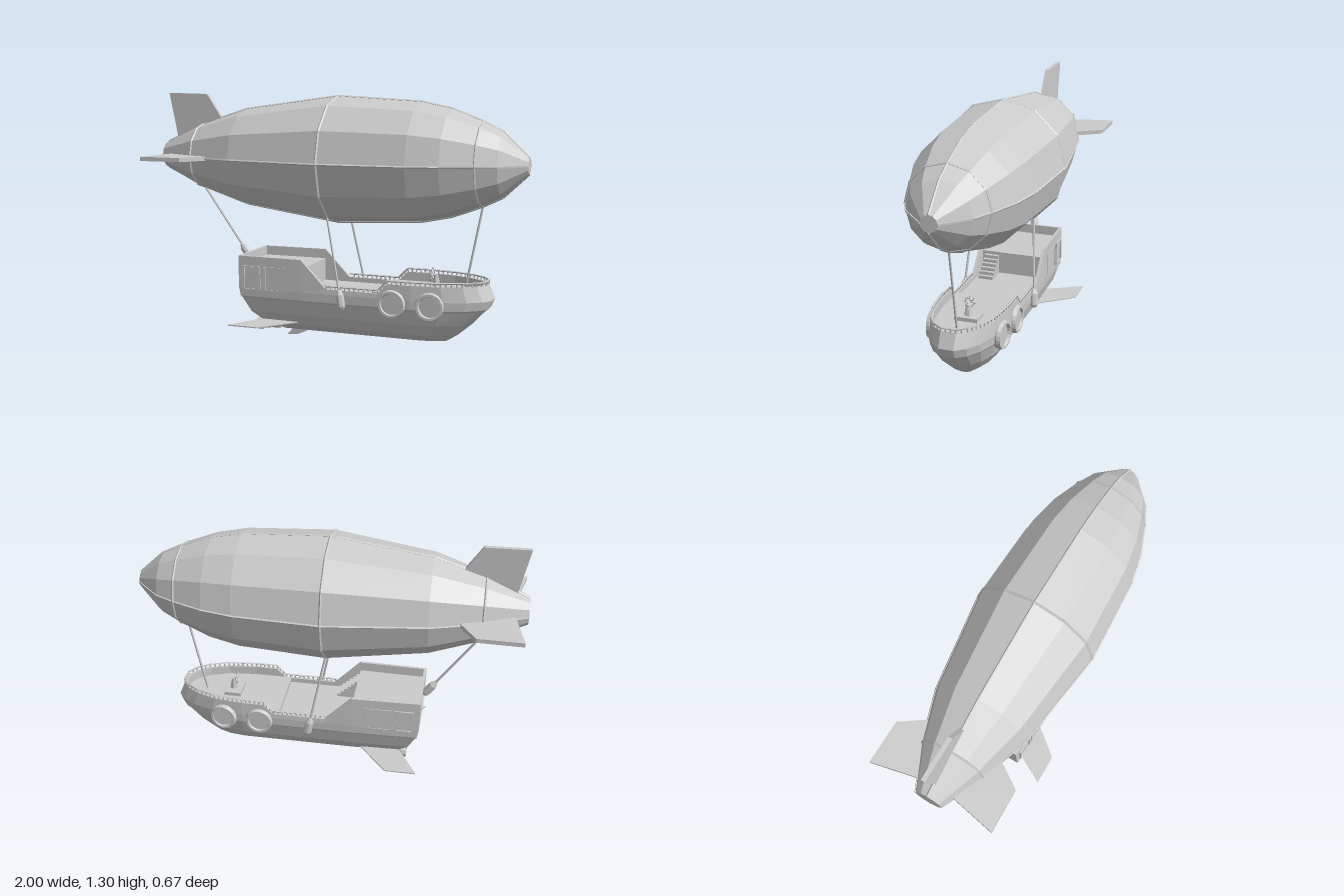
import * as THREE from 'three';

const mat = new THREE.MeshStandardMaterial({ color: 0xcccccc, flatShading: true });
const AXIS = 0.96; // height of the balloon's axis
const V = (x, y, z) => new THREE.Vector3(x, y, z);

function add(parent, name, geometry, x = 0, y = 0, z = 0) {
  const m = new THREE.Mesh(geometry, mat);
  m.name = name;
  m.position.set(x, y, z);
  parent.add(m);
  return m;
}

// Straight rod between two points
function rod(parent, name, a, b, r, sides = 5, r2 = r) {
  const d = b.clone().sub(a);
  const m = add(parent, name, new THREE.CylinderGeometry(r2, r, d.length(), sides));
  m.position.copy(a).addScaledVector(d, 0.5);
  m.quaternion.setFromUnitVectors(V(0, 1, 0), d.normalize());
  return m;
}

// Flat plate cut from an outline in x and y, centred on z
function plate(parent, name, pts, t) {
  const g = new THREE.ExtrudeGeometry(new THREE.Shape(pts.map(p => new THREE.Vector2(...p))), { depth: t, bevelEnabled: false });
  return add(parent, name, g.translate(0, 0, -t / 2));
}

function buildBalloon() {
  const g = new THREE.Group();
  g.name = 'balloon';
  g.position.y = AXIS;
  const profile = [[-1, 0.07], [-0.78, 0.172], [-0.52, 0.255], [0, 0.328], [0.45, 0.305],
    [0.61, 0.272], [0.77, 0.212], [0.87, 0.163], [0.998, 0.042]];
  const pts = [[-1, 0], ...profile, [0.998, 0]].map(([x, r]) => new THREE.Vector2(r, x));
  add(g, 'envelope', new THREE.LatheGeometry(pts, 12).rotateZ(-Math.PI / 2));
  // Hoops
  for (const i of [1, 3, 6]) {
    const [x, r] = profile[i];
    add(g, 'hoop', new THREE.TorusGeometry(r, 0.007, 4, 12).rotateY(Math.PI / 2), x);
  }
  // Lengthwise ribs
  for (let k = 0; k < 4; k++) {
    const a = k * Math.PI / 2;
    const at = ([x, r]) => V(x, Math.cos(a) * r, Math.sin(a) * r);
    for (let i = 0; i + 1 < profile.length; i++) rod(g, 'rib', at(profile[i]), at(profile[i + 1]), 0.006, 4);
  }
  // Tail fins: one on top, one each side
  const fin = [[-0.93, 0.07], [-0.66, 0.17], [-0.67, 0.205], [-0.755, 0.332], [-0.985, 0.336]].reverse();
  for (const a of [0, Math.PI / 2, -Math.PI / 2]) plate(g, 'tailFin', fin, 0.022).rotation.x = a;
  return g;
}

// Height of the hull's upper edge along its length
const SHEER = [[-0.5, 0.45], [-0.14, 0.45], [0, 0.305], [0.28, 0.305], [0.33, 0.357], [1, 0.357]];
function sheer(x) {
  for (let i = 1; i < SHEER.length; i++) {
    const [x0, y0] = SHEER[i - 1], [x1, y1] = SHEER[i];
    if (x <= x1) return y0 + (y1 - y0) * Math.max(0, (x - x0) / (x1 - x0));
  }
}

// One side of a waterline, stern to bow, as [x, z]
function waterline(xs, xb, w) {
  const side = [[xs, w * 0.95]];
  for (const x of [-0.14, 0, 0.28, 0.33, 0.45]) side.push([x, w]);
  for (const deg of [25, 45, 62, 78]) {
    const a = deg * Math.PI / 180;
    side.push([0.45 + (xb - 0.45) * Math.sin(a) / Math.sin(1.361), w * Math.cos(a)]);
  }
  return side;
}

function hullGeometry() {
  // y (null follows the sheer), stern x, bow x, half width; last two rows are the inside
  const levels = [[0.05, -0.28, 0.6, 0.06], [0.09, -0.37, 0.66, 0.115], [0.15, -0.44, 0.73, 0.155],
    [0.225, -0.48, 0.8, 0.176], [0.235, -0.488, 0.815, 0.184], [0.28, -0.497, 0.832, 0.186],
    [null, -0.5, 0.8, 0.184], [null, -0.486, 0.785, 0.17], [0.26, -0.486, 0.785, 0.17]];
  const pos = [], idx = [];
  let n = 0;
  for (const [y, xs, xb, w] of levels) {
    const side = waterline(xs, xb, w);
    const ring = [...side, ...side.map(([x, z]) => [x, -z]).reverse()];
    n = ring.length;
    for (const [x, z] of ring) pos.push(x, y ?? sheer(x), z);
  }
  for (let j = 0; j + 1 < levels.length; j++) {
    for (let i = 0; i < n; i++) {
      const a = j * n + i, b = j * n + (i + 1) % n;
      idx.push(a, b, b + n, a, b + n, a + n);
    }
  }
  // Keel bottom
  for (let i = 0; i + 1 < n / 2; i++) {
    const p = n - 1 - i;
    idx.push(i, p, i + 1, p, p - 1, i + 1);
  }
  const g = new THREE.BufferGeometry();
  g.setAttribute('position', new THREE.Float32BufferAttribute(pos, 3));
  g.setIndex(idx);
  g.computeVertexNormals();
  return g;
}

// Deck slab between two x positions, fitted inside the hull
function deck(parent, name, x0, x1, top, t) {
  const inside = waterline(-0.49, 0.79, 0.173).filter(([x]) => x > x0 && x < x1);
  const side = [[x0, x0 < -0.4 ? 0.165 : 0.173], ...inside];
  if (x1 < 0.4) side.push([x1, 0.173]);
  const pts = [...side.map(([x, z]) => [x, -z]), ...side.reverse()];
  const shape = new THREE.Shape(pts.map(p => new THREE.Vector2(...p)));
  const g = new THREE.ExtrudeGeometry(shape, { depth: t, bevelEnabled: false });
  add(parent, name, g.rotateX(-Math.PI / 2), 0, top - t, 0);
}

function buildRailing(parent) {
  const g = new THREE.Group();
  g.name = 'railing';
  const side = waterline(-0.5, 0.8, 0.179).slice(2);
  const ring = [...side, ...side.map(([x, z]) => [x, -z]).reverse()].map(([x, z]) => V(x, sheer(x), z));
  const up = V(0, 0.017, 0);
  for (let i = 0; i + 1 < ring.length; i++) {
    const a = ring[i], b = ring[i + 1];
    rod(g, 'handrail', a.clone().add(up), b.clone().add(up), 0.005, 4);
    const count = Math.max(1, Math.round(a.distanceTo(b) / 0.025));
    for (let k = 0; k < count; k++) {
      const p = a.clone().lerp(b, k / count);
      add(g, 'baluster', new THREE.BoxGeometry(0.007, 0.022, 0.007), p.x, p.y + 0.008, p.z);
    }
  }
  parent.add(g);
}

function buildShip() {
  const g = new THREE.Group();
  g.name = 'ship';
  add(g, 'hull', hullGeometry());
  deck(g, 'mainDeck', -0.488, 1, 0.28, 0.03);
  deck(g, 'foreDeck', 0.25, 1, 0.31, 0.04);
  deck(g, 'sternDeck', -0.488, -0.14, 0.4, 0.14);
  buildRailing(g);

  // Stairs up to the stern deck
  for (let i = 0; i < 6; i++) {
    const h = 0.12 * (6 - i) / 7;
    add(g, 'stair', new THREE.BoxGeometry(0.019, h, 0.08), -0.13 + i * 0.019, 0.28 + h / 2, 0.115);
  }

  // Steering wheel on a platform
  add(g, 'helmPlatform', new THREE.BoxGeometry(0.09, 0.02, 0.12), 0.53, 0.32, 0);
  add(g, 'helmPost', new THREE.CylinderGeometry(0.01, 0.022, 0.06, 6), 0.535, 0.355, 0);
  add(g, 'helmWheel', new THREE.TorusGeometry(0.023, 0.004, 4, 10).rotateY(Math.PI / 2), 0.515, 0.39, 0);
  for (let k = 0; k < 4; k++) {
    const a = k * Math.PI / 4, d = V(0, Math.cos(a), Math.sin(a)).multiplyScalar(0.034), c = V(0.515, 0.39, 0);
    rod(g, 'helmSpoke', c.clone().sub(d), c.clone().add(d), 0.003, 4);
  }
  rod(g, 'helmAxle', V(0.51, 0.39, 0), V(0.545, 0.38, 0), 0.007);

  for (const s of [1, -1]) {
    // Portholes
    for (const [x, z] of [[0.355, 0.188], [0.55, 0.182]]) {
      const p = add(g, 'portholeFrame', new THREE.TorusGeometry(0.062, 0.011, 6, 20), x, 0.258, s * z);
      p.scale.z = 1.9;
      if (x > 0.5) p.rotation.y = s * 0.12;
      add(g, 'portholeGlass', new THREE.CylinderGeometry(0.056, 0.056, 0.026, 20).rotateX(Math.PI / 2), x, 0.258, s * (z - 0.006));
    }
    // Cabin windows
    for (const [x, w] of [[-0.275, 0.14], [-0.42, 0.09]]) {
      for (const e of [1, -1]) {
        add(g, 'windowSill', new THREE.BoxGeometry(w, 0.007, 0.008), x, 0.335 + e * 0.06, s * 0.181);
        add(g, 'windowPost', new THREE.BoxGeometry(0.007, 0.127, 0.008), x + e * w / 2, 0.335, s * 0.181);
      }
    }
    // Horizontal fins
    plate(g, 'hullFin', [[-0.36, -0.08], [-0.14, -0.08], [-0.2, -0.14], [-0.31, -0.275], [-0.34, -0.308], [-0.5, -0.308], [-0.4, -0.13]].reverse()
      .map(([x, z]) => [x, s * z]), 0.006).rotation.x = Math.PI / 2;
    g.children.at(-1).position.y = 0.103;
    // Thrusters
    const bell = [[0.012, 0], [0.018, 0], [0.019, 0.05], [0.026, 0.1], [0.033, 0.105], [0.033, 0.135], [0.026, 0.135], [0.016, 0.07], [0, 0.07]];
    const t = add(g, 'thruster', new THREE.LatheGeometry(bell.map(p => new THREE.Vector2(...p)), 10), -0.295, 0.072, s * 0.08);
    t.rotation.z = Math.PI / 2;
  }
  // Keel fin
  plate(g, 'keelFin', [[-0.25, 0.06], [-0.262, 0.035], [-0.295, 0], [-0.235, 0.006], [-0.19, 0.025], [-0.14, 0.06]], 0.008);
  // Stern window
  add(g, 'sternWindow', new THREE.TorusGeometry(0.045, 0.006, 4, 12).scale(1.6, 0.8, 1).rotateY(Math.PI / 2), -0.498, 0.36, 0);
  return g;
}

// Rope with a pulley block near its lower end
function rope(parent, from, to, block) {
  rod(parent, 'rope', from, to, 0.006, 6);
  if (!block) return;
  const dir = from.clone().sub(to).normalize();
  const at = k => to.clone().addScaledVector(dir, k);
  rod(parent, 'pulleyBlock', at(-0.03), at(0.03), 0.022, 8);
  rod(parent, 'pulleyCap', at(0.03), at(0.055), 0.022, 8, 0.01);
  rod(parent, 'pulleyFoot', at(-0.045), at(-0.03), 0.012, 8, 0.022);
}

export function createModel() {
  const model = new THREE.Group();
  model.name = 'airship';
  const ropes = new THREE.Group();
  ropes.name = 'rigging';
  model.add(buildBalloon(), buildShip(), ropes);
  for (const s of [1, -1]) rope(ropes, V(0, 0.676, s * 0.164), V(0.085, 0.255, s * 0.196), true);
  rope(ropes, V(0.77, AXIS - 0.212, 0), V(0.685, 0.31, 0), false);
  rope(ropes, V(-0.78, AXIS - 0.172, 0), V(-0.53, 0.437, 0), true);
  return model;
}
